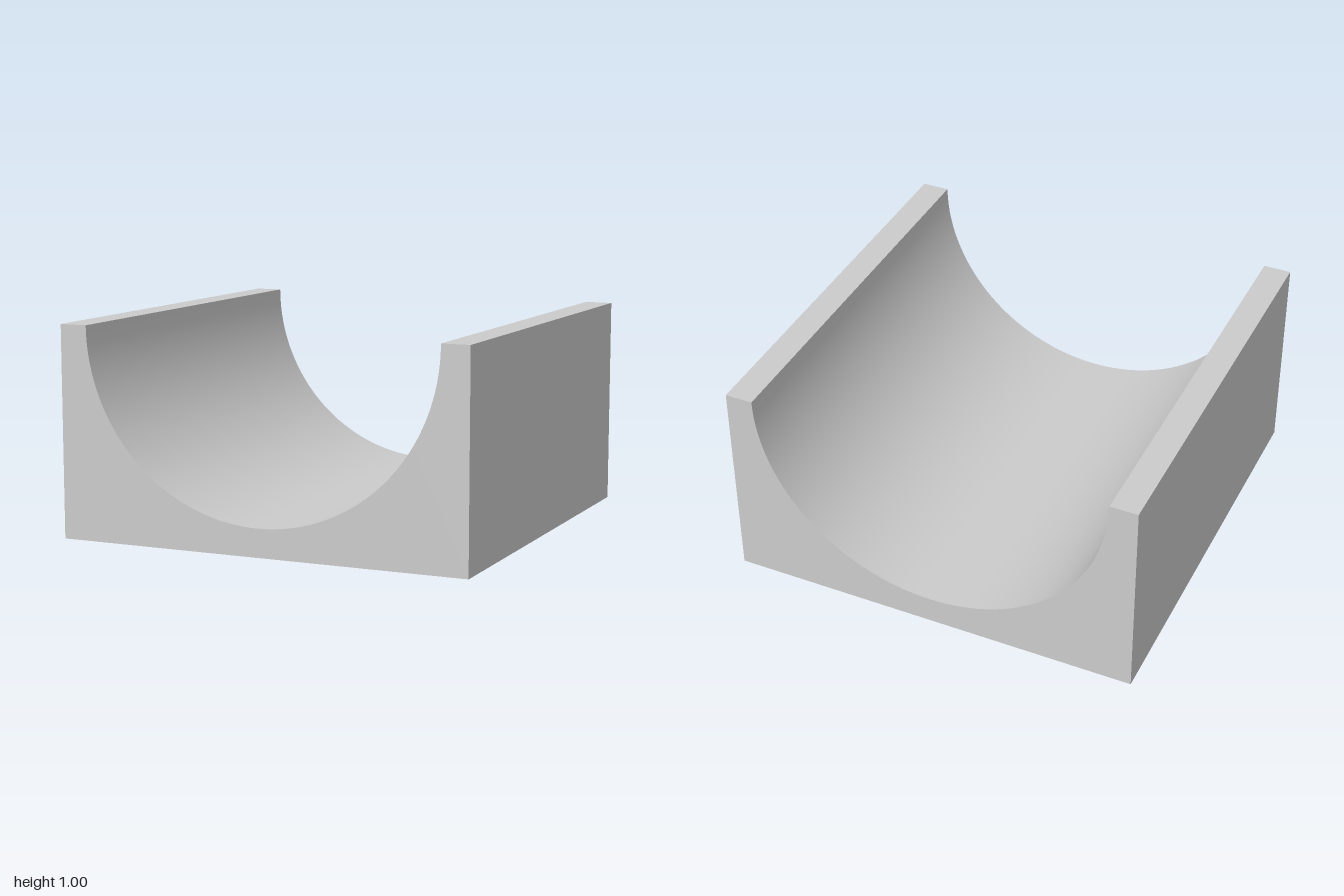
import * as THREE from 'three';
import { toCreasedNormals } from 'three/addons/utils/BufferGeometryUtils.js';

const HALF = 1;        // half of the width and length
const HEIGHT = 1;
const RADIUS = 0.867;  // radius of the half-round channel

export function createModel() {
  const group = new THREE.Group();
  group.name = 'channelBlock';

  // Block cross-section with a half-round trough cut into the top
  const section = new THREE.Shape();
  section.moveTo(-HALF, 0);
  section.lineTo(HALF, 0);
  section.lineTo(HALF, HEIGHT);
  section.lineTo(RADIUS, HEIGHT);
  section.absarc(0, HEIGHT, RADIUS, 0, -Math.PI, true);
  section.lineTo(-HALF, HEIGHT);
  section.closePath();

  // Run the section along z, with a smooth trough and sharp outer edges
  const extruded = new THREE.ExtrudeGeometry(section, {
    depth: 2 * HALF,
    bevelEnabled: false,
    curveSegments: 32,
  });
  extruded.translate(0, 0, -HALF);

  const block = new THREE.Mesh(
    toCreasedNormals(extruded, Math.PI / 6),
    new THREE.MeshStandardMaterial({ color: 0xcccccc })
  );
  block.name = 'halfRoundTrough';
  group.add(block);
  return group;
}
